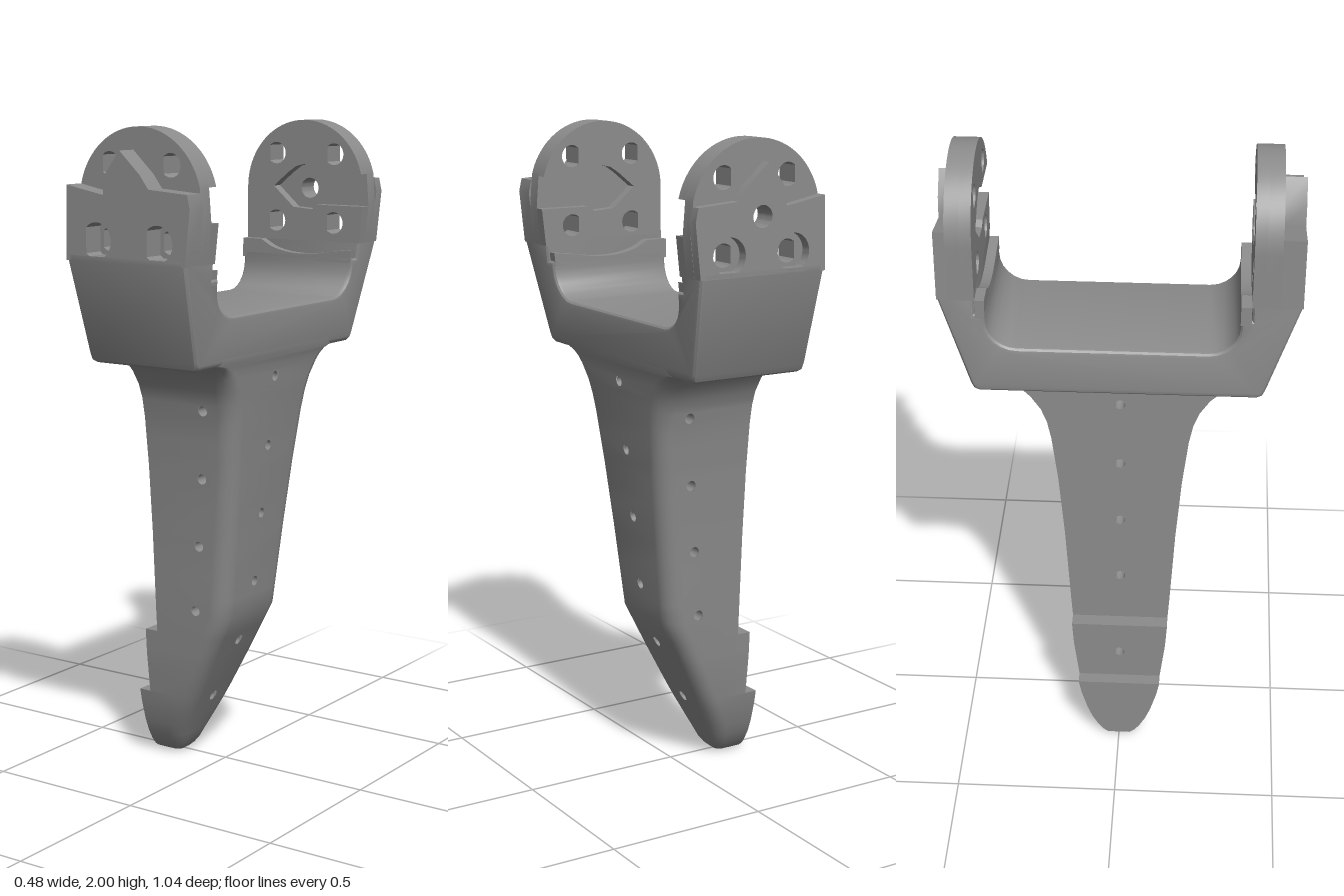
import * as THREE from 'three';
import { toCreasedNormals } from 'three/addons/utils/BufferGeometryUtils.js';

const grey = new THREE.MeshStandardMaterial({ color: 0x8c8c8c, side: THREE.DoubleSide });
grey.name = 'grey';

// piecewise linear lookup in a list of [y, value]
function lookup(table, y) {
  for (let i = 1; i < table.length; i++) {
    const [y0, a] = table[i - 1], [y1, b] = table[i];
    if (y <= y1) return a + (b - a) * Math.max(0, (y - y0) / (y1 - y0));
  }
  return table[table.length - 1][1];
}
const halfWidth = y => lookup([[0, 0.02], [0.004, 0.035], [0.015, 0.05], [0.035, 0.066], [0.07, 0.086],
  [0.11, 0.102], [0.175, 0.121], [0.22, 0.13], [0.35, 0.146], [0.5, 0.156], [0.76, 0.171], [0.97, 0.188],
  [1.12, 0.206], [1.18, 0.218], [1.225, 0.235], [1.27, 0.265], [1.29, 0.285], [1.305, 0.31], [1.315, 0.345]], y);
const slopeX = y => lookup([[0, -0.17], [0.004, -0.155], [0.015, -0.142], [0.035, -0.127], [0.5, 0.1], [2, 0.2665]], y);

const HOLE = 0.016;
const zHoles = [0.52, 0.73, 0.945, 1.16];
const frontHoles = [0.199, 0.4, 0.6, 0.82, 1.035, 1.25];
const backHoles = [0.32, 0.6, 0.82, 1.035, 1.25];
const backX = y => (y < 0.22 ? -0.24 : y < 0.43 ? -0.2 : -0.155);

// cross-section of the leg, walked along +z side, slope, -z side, back
const FILLET = 5;
function ring(y, xb) {
  const w = halfWidth(y), xf = slopeX(y), r = Math.min(0.055, w * 0.6, (xf - xb) * 0.5);
  const p = [new THREE.Vector3(xb, y, w)];
  for (const s of [1, -1]) {
    for (let i = 0; i <= FILLET; i++) {
      const a = (Math.PI / 2) * (s > 0 ? 1 - i / FILLET : i / FILLET);
      p.push(new THREE.Vector3(xf - r + r * Math.cos(a), y, s * (w - r + r * Math.sin(a))));
    }
  }
  p.push(new THREE.Vector3(xb, y, -w));
  return p;
}

function legGeometry() {
  const pos = [], put = (...v) => v.forEach(q => pos.push(q.x, q.y, q.z));
  const ys = [0, 0.004, 0.015, 0.035, 0.07, 0.11, 0.175, 0.22, 0.29, 0.35, 0.37, 0.43, 0.5, 0.56, 0.64, 0.7, 0.76,
    0.84, 0.9, 0.97, 1.01, 1.06, 1.12, 1.18, 1.2, 1.225, 1.27, 1.29, 1.305, 1.315, 1.335];
  const n = 2 * FILLET + 4, BACK = n - 1;
  // flat panels that carry holes: direction, hole heights, hole position along it
  const drilled = {
    0: { d: new THREE.Vector3(1, 0, 0), hs: zHoles, at: holeX },
    [FILLET + 1]: { d: new THREE.Vector3(0, 0, -1), hs: frontHoles, at: () => 0 },
    [2 * FILLET + 2]: { d: new THREE.Vector3(-1, 0, 0), hs: zHoles, at: y => -holeX(y) },
    [BACK]: { d: new THREE.Vector3(0, 0, 1), hs: backHoles, at: () => 0 },
  };
  for (let i = 0; i < ys.length - 1; i++) {
    const y0 = ys[i], y1 = ys[i + 1], xb = y0 === 0 ? -0.228 : backX(y0);
    const A = ring(y0, xb), B = ring(y1, backX(y0));
    for (let j = 0; j < n; j++) {
      const k = (j + 1) % n, D = drilled[j];
      const h = D && D.hs.find(y => y > y0 && y < y1);
      if (!h) { put(A[j], A[k], B[k], A[j], B[k], B[j]); continue; }
      const u = q => q.dot(D.d);
      const s = new THREE.Shape([A[j], A[k], B[k], B[j]].map(q => new THREE.Vector2(u(q), q.y)));
      s.holes.push(new THREE.Path().absarc(D.at(h), h, HOLE, 0, Math.PI * 2, true));
      const g = new THREE.ShapeGeometry(s, 8).toNonIndexed().attributes.position;
      for (let v = 0; v < g.count; v++) {
        const t = (g.getY(v) - y0) / (y1 - y0);
        const L = A[j].clone().lerp(B[j], t), R = A[k].clone().lerp(B[k], t);
        put(L.clone().lerp(R, (g.getX(v) - u(L)) / (u(R) - u(L))));
      }
    }
    // ledge where the back steps in
    if (backX(y1) !== backX(y0)) {
      const C = ring(y1, backX(y1));
      put(B[BACK], B[0], C[0], B[BACK], C[0], C[BACK]);
    }
  }
  const bottom = ring(0, -0.228);
  for (let k = 1; k < n - 1; k++) put(bottom[0], bottom[k + 1], bottom[k]);
  const g = new THREE.BufferGeometry();
  g.setAttribute('position', new THREE.Float32BufferAttribute(pos, 3));
  return toCreasedNormals(g, 0.55);
}
function holeX(y) { return -0.005 + (y - 0.51) * 0.108; }

// the two fork arms differ slightly in thickness
const arms = [
  { s: 1, name: 'left', inner: 0.345, mid: 0.376, plate: 0.455, foot: 0.42 },
  { s: -1, name: 'right', inner: 0.384, mid: 0.412, plate: 0.488, foot: 0.43 },
];
const OUT = 0.52;

// U-shaped yoke, extruded across x and slanted on the +x side
function yokeGeometry() {
  const half = a => {
    const p = [[a.foot - 0.02, 1.31], [a.foot - 0.004, 1.317], [a.foot + 0.005, 1.335], [OUT, 1.62], [OUT, 1.635],
      [a.mid, 1.635], [a.mid, 1.575], [a.inner, 1.575]];
    for (let i = 0; i <= 6; i++) {
      const t = (i / 6) * Math.PI / 2;
      p.push([a.inner - 0.09 + 0.09 * Math.cos(t), 1.55 - 0.09 * Math.sin(t)]);
    }
    return p.map(([z, y]) => new THREE.Vector2(-a.s * z, y));
  };
  const shape = new THREE.Shape([...half(arms[1]), ...half(arms[0]).reverse()]);
  const b = 0.015, L = 0.4;
  const g = new THREE.ExtrudeGeometry(shape, { depth: L - 2 * b, bevelSize: b, bevelThickness: b, bevelOffset: -b, bevelSegments: 3 });
  g.translate(0, 0, b).rotateY(Math.PI / 2);
  const p = g.attributes.position;
  for (let i = 0; i < p.count; i++) {
    const x = p.getX(i);
    p.setX(i, x > L / 2 ? slopeX(p.getY(i)) - (L - x) : x - 0.195);
  }
  return toCreasedNormals(g, 0.5);
}

const CX = 0.02, CY = 1.785, R = 0.215;
const boltX = [-0.085, 0.13], lowY = 1.68, highY = 1.895;
const tear = (x, y, r) => {
  const p = new THREE.Path();
  p.moveTo(x - 1.42 * r, y);
  p.absarc(x, y, r, -Math.PI * 0.75, Math.PI * 0.75, false);
  p.closePath();
  return p;
};
const circle = (x, y, r) => new THREE.Path().absarc(x, y, r, 0, Math.PI * 2, true);

// round-topped plate, optionally with the key slot open to the +x edge
function plateShape(slot, centreHole) {
  const s = new THREE.Shape();
  s.moveTo(-0.195, 1.62);
  s.lineTo(slopeX(1.62), 1.62);
  s.lineTo(slopeX(1.735), 1.735);
  if (slot) {
    [[0.07, 1.735], [0.05, 1.72], [-0.02, 1.725], [-0.095, 1.79], [-0.04, 1.835], [-0.01, 1.855], [0.02, 1.862],
      [0.05, 1.855], [0.08, 1.835]].forEach(q => s.lineTo(...q));
  }
  s.absarc(CX, CY, R, 0.235, Math.PI, false);
  s.closePath();
  for (const x of boltX) s.holes.push(tear(x, lowY, 0.034), tear(x, highY, 0.034));
  if (centreHole && !slot) s.holes.push(circle(CX, CY, 0.032));
  return s;
}
// raised outer pad with a pointed crest and bolt pockets
function padShape(s) {
  const shape = new THREE.Shape([[-0.195, 1.62], [0.224, 1.62], [0.241, 1.78], [0.232, 1.82], [0.1, 1.83], [0.07, 1.87],
    [0, 1.935], [-0.05, 1.87], [-0.06, 1.81], [-0.14, 1.825], [-0.19, 1.835]].map(q => new THREE.Vector2(...q)));
  for (const x of boltX) shape.holes.push(s > 0 ? tear(x, lowY, 0.052) : circle(x, lowY, 0.054));
  if (s < 0) shape.holes.push(circle(CX, CY, 0.032));
  return shape;
}
function ledgeShape() {
  const s = new THREE.Shape();
  s.moveTo(-0.195, 1.56);
  s.lineTo(slopeX(1.56) - 0.01, 1.56);
  s.lineTo(slopeX(1.6) - 0.01, 1.6);
  s.lineTo(0.14, 1.592);
  s.quadraticCurveTo(0, 1.565, -0.09, 1.6);
  s.lineTo(-0.125, 1.62);
  s.lineTo(-0.195, 1.62);
  return s;
}

export function createModel() {
  const model = new THREE.Group();
  const add = (name, geometry, parent = model) => {
    const m = new THREE.Mesh(geometry, grey);
    m.name = name;
    parent.add(m);
    return m;
  };
  add('leg', legGeometry());
  add('yoke', yokeGeometry());

  // plates, pads and ledges of each arm
  for (const a of arms) {
    const arm = new THREE.Group();
    arm.name = a.name + 'Arm';
    model.add(arm);
    const layer = (name, shape, z0, z1) => {
      const g = new THREE.ExtrudeGeometry(shape, { depth: z1 - z0, bevelEnabled: false, curveSegments: 20 });
      add(name, toCreasedNormals(g, 0.5), arm).position.z = a.s > 0 ? z0 : -z1;
    };
    layer('slottedPlate', plateShape(true, a.s < 0), a.mid, a.mid + 0.035);
    layer('plate', plateShape(false, a.s < 0), a.mid + 0.035, a.plate);
    layer('outerPad', padShape(a.s), a.plate, OUT);
    layer('innerLedge', ledgeShape(), a.inner, a.mid);
  }

  // walls of the through holes and of the blind holes in the leg
  for (const y of zHoles) {
    const g = new THREE.CylinderGeometry(HOLE, HOLE, 2 * halfWidth(y) - 0.004, 16, 1, true).rotateX(Math.PI / 2);
    add('crossHole', g).position.set(holeX(y), y, 0);
  }
  const cup = [[0, 0], [HOLE, 0], [HOLE, 0.06]].map(q => new THREE.Vector2(...q));
  for (const y of frontHoles) {
    add('slopeHole', new THREE.LatheGeometry(cup, 16).rotateZ(-Math.PI / 2)).position.set(slopeX(y) - (y < 0.5 ? 0.067 : 0.062), y, 0);
  }
  for (const y of backHoles) {
    add('backHole', new THREE.LatheGeometry(cup, 16).rotateZ(Math.PI / 2)).position.set(backX(y) + 0.06, y, 0);
  }
  return model;
}
